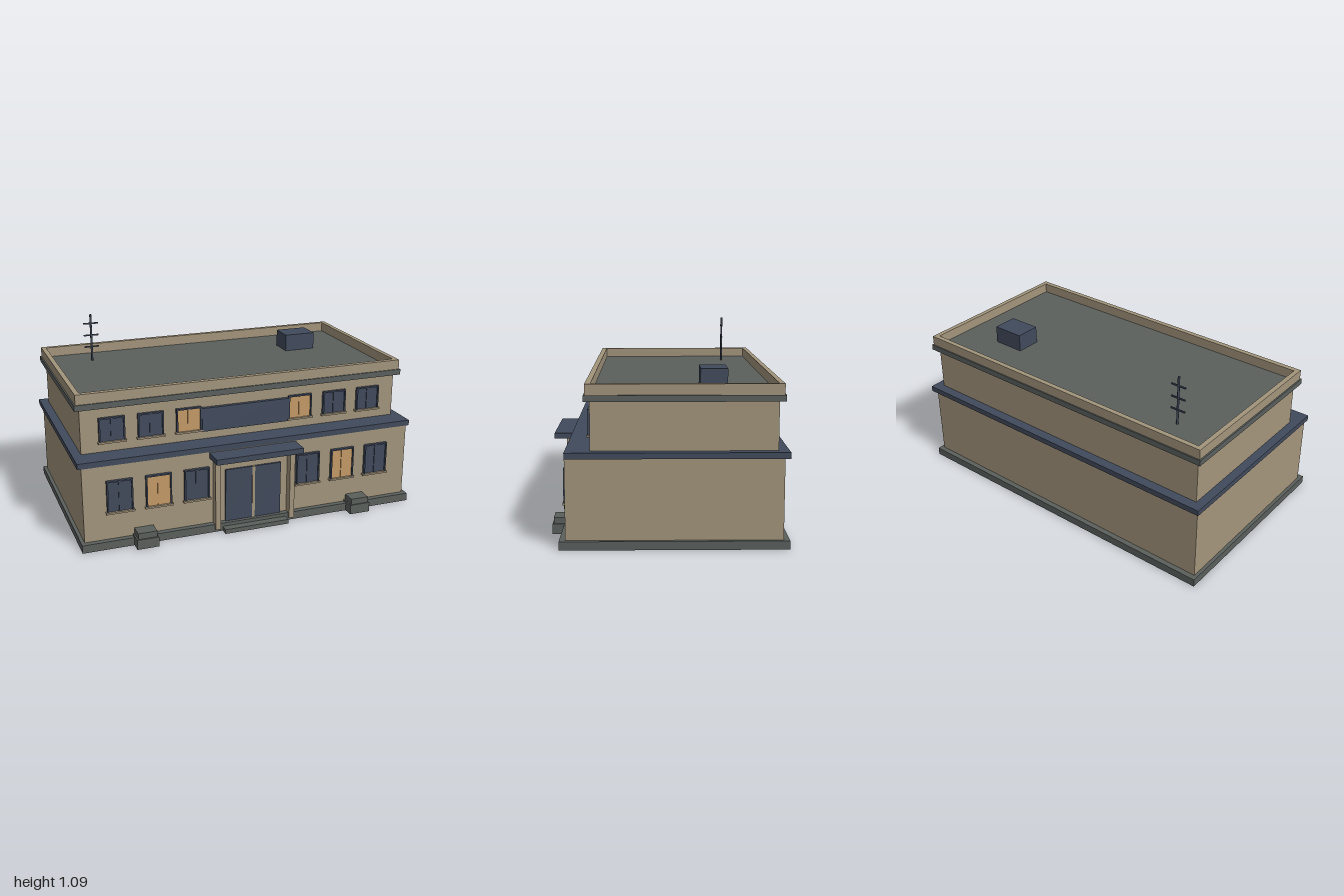
import * as THREE from 'three';

const mat = (name, color) => {
  const m = new THREE.MeshStandardMaterial({ color });
  m.name = name;
  return m;
};

export function createModel() {
  const wall = mat('tan wall', 0xa3957c);
  const stone = mat('grey stone', 0x5a605d);
  const navy = mat('navy trim', 0x414a5c);
  const lit = mat('lit glass', 0xc59a66);

  const model = new THREE.Group();
  model.name = 'twoStoreyBuilding';

  // Box given by its limits on each axis
  function box(name, material, [x0, x1], [y0, y1], [z0, z1], parent = model) {
    const mesh = new THREE.Mesh(new THREE.BoxGeometry(x1 - x0, y1 - y0, z1 - z0), material);
    mesh.position.set((x0 + x1) / 2, (y0 + y1) / 2, (z0 + z1) / 2);
    mesh.name = name;
    parent.add(mesh);
    return mesh;
  }

  // Main masses, bottom to top
  box('plinth', stone, [-1, 1], [0, 0.046], [-0.635, 0.552]);
  box('groundFloor', wall, [-0.98, 0.98], [0.046, 0.476], [-0.604, 0.52]);
  box('floorBand', navy, [-1, 1], [0.476, 0.508], [-0.63, 0.52]);
  box('upperFloor', wall, [-0.95, 0.95], [0.508, 0.765], [-0.574, 0.39]);
  box('roofSlab', stone, [-0.98, 0.98], [0.765, 0.798], [-0.605, 0.42]);

  // Parapet ring around the flat roof
  const rect = (Cls, x, z0, z1) => new Cls([
    new THREE.Vector2(-x, -z1), new THREE.Vector2(x, -z1),
    new THREE.Vector2(x, -z0), new THREE.Vector2(-x, -z0),
  ]);
  const ring = rect(THREE.Shape, 0.972, -0.598, 0.413);
  ring.holes.push(rect(THREE.Path, 0.944, -0.57, 0.383));
  const parapet = new THREE.Mesh(
    new THREE.ExtrudeGeometry(ring, { depth: 0.057, bevelEnabled: false }), wall);
  parapet.rotation.x = -Math.PI / 2;
  parapet.position.y = 0.798;
  parapet.name = 'parapet';
  model.add(parapet);

  // Window: frame bars, two panes, centre bar and sill
  function addWindow(x, y0, y1, wallZ, isLit) {
    const g = new THREE.Group();
    g.name = isLit ? 'litWindow' : 'darkWindow';
    const glass = isLit ? lit : navy;
    const h = 0.073, t = 0.008, z = [wallZ, wallZ + 0.018];
    box('pane', glass, [x - h + t, x + h - t], [y0, y1 - t], [wallZ, wallZ + 0.009], g);
    box('centreBar', glass, [x - 0.007, x + 0.007], [y0, y1 - t], [wallZ, wallZ + 0.014], g);
    box('frameTop', navy, [x - h, x + h], [y1 - t, y1], z, g);
    for (const s of [-1, 1]) {
      const a = x + s * h, b = x + s * (h - t);
      box('frameSide', navy, [Math.min(a, b), Math.max(a, b)], [y0, y1 - t], z, g);
    }
    box('sill', wall, [x - 0.08, x + 0.08], [y0 - 0.01, y0], [wallZ, wallZ + 0.023], g);
    model.add(g);
  }

  for (const side of [-1, 1]) {
    [0.338, 0.558, 0.777].forEach((x, i) => {
      addWindow(side * x, 0.21, 0.392, 0.52, i === 1);
      addWindow(side * x, 0.57, 0.706, 0.39, i === 0);
    });

    // Planters beside the entrance
    const px = side * 0.648;
    box('planterBase', stone, [px - 0.062, px + 0.062], [0, 0.057], [0.52, 0.612]);
    box('planterTop', stone, [px - 0.054, px + 0.054], [0.057, 0.092], [0.525, 0.605]);

    // Porch columns
    const cx = side * 0.226;
    box('porchColumn', wall, [cx - 0.015, cx + 0.015], [0.018, 0.442], [0.52, 0.567]);

    // Door leaves
    const dx = side * 0.088;
    box('doorLeaf', navy, [dx - 0.08, dx + 0.08], [0.025, 0.36], [0.52, 0.531]);
  }

  // Entrance
  box('doorPost', wall, [-0.008, 0.008], [0.025, 0.36], [0.52, 0.536]);
  box('entranceStep', stone, [-0.193, 0.193], [0, 0.026], [0.52, 0.598]);
  box('canopy', navy, [-0.26, 0.26], [0.441, 0.473], [0.52, 0.638]);
  box('canopyLamp', wall, [-0.165, 0.165], [0.433, 0.441], [0.578, 0.608]);

  // Wide panel between the upper windows
  box('upperPanel', navy, [-0.264, 0.264], [0.558, 0.696], [0.39, 0.412]);

  // Roof equipment
  box('roofUnit', navy, [0.505, 0.697], [0.798, 0.9], [-0.332, -0.186]);
  const antenna = new THREE.Group();
  antenna.name = 'antenna';
  const mast = new THREE.Mesh(new THREE.CylinderGeometry(0.0065, 0.0065, 0.287, 8), navy);
  mast.position.set(-0.695, 0.9415, -0.4);
  mast.name = 'mast';
  antenna.add(mast);
  for (const y of [0.885, 0.957, 1.03]) {
    box('crossBar', navy, [-0.74, -0.65], [y - 0.004, y + 0.004], [-0.404, -0.396], antenna);
  }
  model.add(antenna);

  return model;
}
